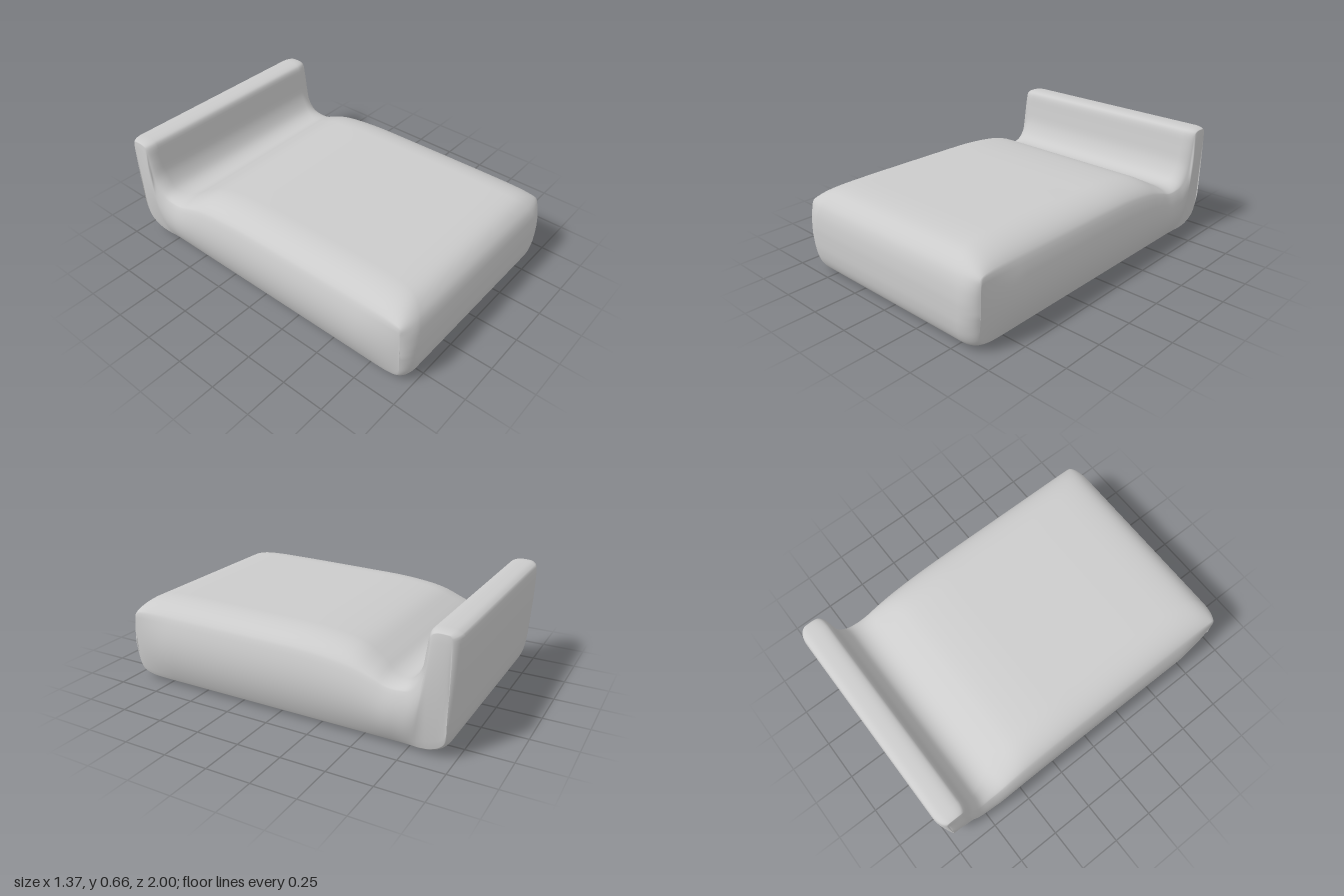
import * as THREE from 'three';
import { mergeVertices } from 'three/addons/utils/BufferGeometryUtils.js';

// Upper outline, front to back: centre z, centre y, edge z, edge y, rounding width
const TOP = [
  [1, .22, .95, .22, .1], [.998, .29, .948, .29, .1], [.985, .37, .945, .36, .11],
  [.955, .43, .935, .405, .14], [.89, .478, .88, .413, .18], [.78, .497, .78, .414, .2],
  [.6, .5, .6, .412, .2], [.35, .497, .35, .41, .2], [.05, .492, .05, .408, .2],
  [-.2, .485, -.2, .402, .2], [-.42, .455, -.42, .378, .19], [-.55, .395, -.55, .345, .17],
  [-.63, .35, -.63, .318, .13], [-.7, .342, -.7, .314, .1], [-.76, .372, -.77, .33, .08],
  [-.805, .45, -.83, .41, .08], [-.825, .55, -.85, .54, .07], [-.84, .635, -.86, .625, .07],
  [-.87, .66, -.885, .648, .07], [-.93, .663, -.93, .65, .07], [-.98, .652, -.955, .643, .07],
  [-1, .61, -.965, .6, .08], [-.997, .42, -.965, .42, .09], [-.985, .22, -.96, .22, .1],
];
// Lower outline, paired with the upper one: centre z, centre y, edge z
const BOTTOM = [
  [1, .22, .95], [.998, .15, .948], [.985, .08, .945], [.955, .03, .925], [.89, .006, .87],
  [.78, 0, .78], [.6, 0, .6], [.35, 0, .35], [.05, 0, .05], [-.2, 0, -.2], [-.42, 0, -.42],
  [-.55, 0, -.55], [-.63, 0, -.63], [-.7, 0, -.7], [-.75, 0, -.75], [-.78, 0, -.78],
  [-.81, 0, -.81], [-.835, .004, -.835], [-.86, .008, -.86], [-.89, .018, -.885],
  [-.925, .035, -.915], [-.955, .07, -.945], [-.975, .13, -.957], [-.985, .22, -.96],
];

const { lerp, clamp, smoothstep } = THREE.MathUtils;
const spline = (rows, pick) =>
  new THREE.CatmullRomCurve3(rows.map((r) => new THREE.Vector3(...pick(r))), false, 'catmullrom', 0.5);

const edgeX = (z) => .657 + .011 * smoothstep(-z, .7, .9);
const bulge = (z) => .042 * Math.sqrt(clamp((.95 - z) / .25, 0, 1) * clamp((z + .96) / .3, 0, 1));

// Points from the middle out to the side edge: flat, then rounding over
function roundedSpan(c, e, r) {
  const pts = [];
  const flat = e.x - r;
  for (let i = 0; i < 4; i++) pts.push([flat * i / 4, c.y, c.z]);
  const steps = 10, max = 1.25;
  for (let i = 0; i <= steps; i++) {
    const a = max * i / steps;
    const k = (1 - Math.cos(a)) / (1 - Math.cos(max));
    pts.push([flat + r * Math.sin(a) / Math.sin(max), lerp(c.y, e.y, k), lerp(c.z, e.z, k)]);
  }
  return pts;
}

function bodyGeometry() {
  const topCentre = spline(TOP, (r) => [r[4], r[1], r[0]]);
  const topEdge = spline(TOP, (r) => [edgeX(r[2]), r[3], r[2]]);
  const lowCentre = spline(BOTTOM, (r) => [.1, r[1], r[0]]);
  const lowEdge = spline(BOTTOM, (r) => {
    const k = 1 - r[1] / .22;
    return [edgeX(r[2]) - .025 * k, r[1] + .03 * k, r[2]];
  });

  const stations = (TOP.length - 1) * 4;
  const sideSteps = 14;
  const positions = [], index = [];
  let n = 0;
  for (let i = 0; i <= stations; i++) {
    const t = i / stations;
    const c = topCentre.getPoint(t), e = topEdge.getPoint(t);
    const lc = lowCentre.getPoint(t), le = lowEdge.getPoint(t);
    const half = roundedSpan(c, e, c.x);
    // bulging side wall
    for (let s = 1; s < sideSteps; s++) {
      const v = s / sideSteps;
      const z = lerp(e.z, le.z, v);
      half.push([lerp(e.x, le.x, v) + 4 * v * (1 - v) * bulge(z), lerp(e.y, le.y, v), z]);
    }
    half.push(...roundedSpan(lc, le, lc.x).reverse());
    const ring = [...half, ...half.map(([x, y, z]) => [-x, y, z]).reverse()];
    n = ring.length;
    positions.push(...ring.flat());
  }
  for (let i = 0; i < stations; i++) {
    for (let j = 0; j < n; j++) {
      const a = i * n + j, b = i * n + (j + 1) % n;
      index.push(a, b, a + n, b, b + n, a + n);
    }
  }
  const geo = new THREE.BufferGeometry();
  geo.setAttribute('position', new THREE.Float32BufferAttribute(positions, 3));
  geo.setIndex(index);
  const merged = mergeVertices(geo, 1e-4);
  merged.computeVertexNormals();
  return merged;
}

export function createModel() {
  const group = new THREE.Group();
  group.name = 'bed';
  // mattress and headboard flow into one soft shell
  const body = new THREE.Mesh(bodyGeometry(), new THREE.MeshStandardMaterial({ color: 0xcccccc }));
  body.name = 'mattressAndHeadboard';
  group.add(body);
  return group;
}
